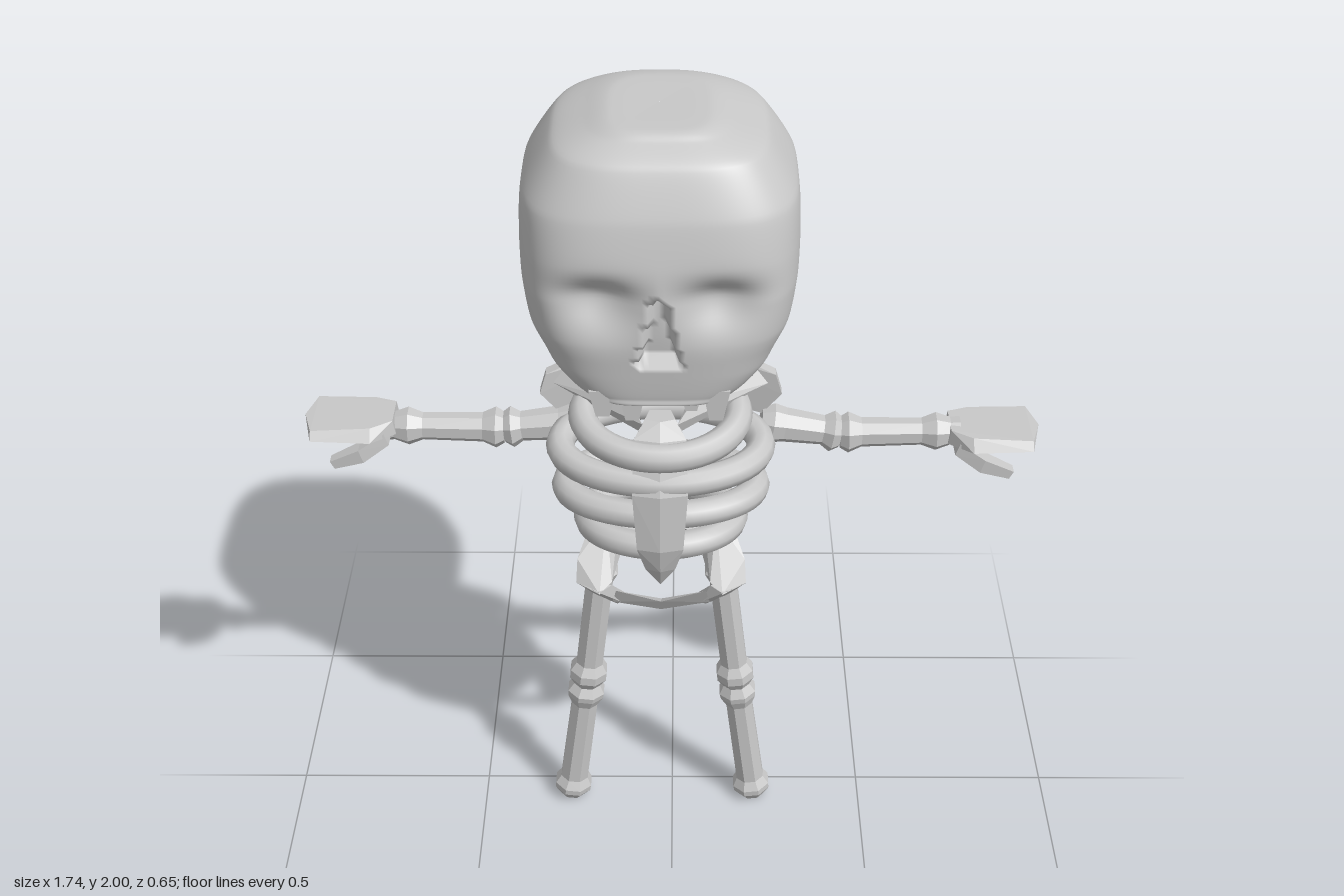
import * as THREE from 'three';
import { ConvexGeometry } from 'three/addons/geometries/ConvexGeometry.js';

const CX = -0.027; // body midline
const bone = new THREE.MeshStandardMaterial({ color: 0xc8c8c8 });
bone.name = 'bone';
const V = (x, y, z) => new THREE.Vector3(x, y, z);

export function createModel() {
  const model = new THREE.Group();
  model.name = 'skeleton';

  const add = (name, geo, parent = model) => {
    const mesh = new THREE.Mesh(geo, bone);
    mesh.name = name;
    parent.add(mesh);
    return mesh;
  };
  const group = (name) => {
    const g = new THREE.Group();
    g.name = name;
    model.add(g);
    return g;
  };
  // faceted solid around a few points, x measured from the midline and mirrored by s
  const hull = (name, pts, s = 1, parent = model) =>
    add(name, new ConvexGeometry(pts.map(([x, y, z]) => V(CX + s * x, y, z))), parent);
  // faceted long bone: profile of [distance along, radius]
  const longBone = (name, a, b, profile, parent) => {
    const len = a.distanceTo(b);
    const pts = [[0, 0.001], ...profile, [1, 0.001]].map(([t, r]) => new THREE.Vector2(r, t * len));
    let geo = new THREE.LatheGeometry(pts, 8, Math.PI / 8).toNonIndexed();
    geo.computeVertexNormals();
    const mesh = add(name, geo, parent);
    mesh.position.copy(a);
    mesh.quaternion.setFromUnitVectors(V(0, 1, 0), b.clone().sub(a).normalize());
  };

  // Skull: rounded loops of [y, half width, front z, back z], sockets pressed in
  const levels = [
    [2.0, 0.001, 0.01, 0.008], [2.0, 0.11, 0.15, -0.13], [1.985, 0.16, 0.18, -0.19],
    [1.95, 0.235, 0.235, -0.245], [1.85, 0.3, 0.285, -0.302], [1.75, 0.308, 0.312, -0.325],
    [1.66, 0.306, 0.328, -0.328], [1.57, 0.292, 0.325, -0.296], [1.5, 0.252, 0.318, -0.22],
    [1.465, 0.2, 0.312, -0.15], [1.45, 0.15, 0.3, -0.1], [1.455, 0.001, 0.08, 0.078]];
  const sizes = new THREE.CatmullRomCurve3(levels.map((l) => V(l[1], l[2], l[3])), false, 'catmullrom', 0.3);
  const heights = new THREE.CatmullRomCurve3(levels.map((l) => V(0, l[0], 0)), false, 'catmullrom', 0.3);
  const ROWS = 99, COLS = 160, pos = [], idx = [];
  for (let i = 0; i <= ROWS; i++) {
    const { x: w, y: zf, z: zb } = sizes.getPoint(i / ROWS);
    const y0 = heights.getPoint(i / ROWS).y;
    for (let j = 0; j < COLS; j++) {
      const a = (j / COLS) * Math.PI * 2, c = Math.cos(a), s = Math.sin(a);
      const n = s > 0 ? 3.8 : 2.9;
      const r = (Math.abs(c) ** n + Math.abs(s) ** n) ** (-1 / n);
      const x = r * c * w;
      let y = y0, z = (zf + zb) / 2 + r * s * (zf - zb) / 2;
      if (z > 0.1) {
        const dx = (Math.abs(x) - 0.13) / 0.085, dy = (y - 1.675) / (y > 1.675 ? 0.045 : 0.07);
        const noseHalf = 0.045 - ((y - 1.52) / 0.16) * 0.035;
        const inNose = y > 1.52 && y < 1.68 && Math.abs(x) < noseHalf;
        z -= 0.05 * Math.exp(-dx * dx - dy * dy) + (inNose ? 0.05 : 0);
      }
      // upper jaw hangs lower at the front
      y -= 0.035 * THREE.MathUtils.smoothstep(z, 0.02, 0.3) * (1 - THREE.MathUtils.smoothstep(y0, 1.45, 1.53));
      pos.push(CX + x, y, z);
      if (i < ROWS) {
        const p = i * COLS + j, q = i * COLS + ((j + 1) % COLS);
        idx.push(p, q, p + COLS, q, q + COLS, p + COLS);
      }
    }
  }
  const skull = new THREE.BufferGeometry();
  skull.setAttribute('position', new THREE.Float32BufferAttribute(pos, 3));
  skull.setIndex(idx);
  skull.computeVertexNormals();
  add('skull', skull);

  // Teeth
  const teeth = group('teeth');
  for (const [x, w, tip] of [[-0.125, 0.03, 1.385], [-0.06, 0.03, 1.375], [0.07, 0.025, 1.40], [0.125, 0.03, 1.375]]) {
    hull('tooth', [[x - w, 1.45, 0.305], [x + w, 1.45, 0.305], [x - w, 1.44, 0.2], [x + w, 1.44, 0.2],
      [x - w * 0.5, tip, 0.305], [x + w * 0.5, tip, 0.305], [x, tip + 0.01, 0.28]], 1, teeth);
  }

  // Spine and neck
  const slab = (y, w, z0, z1) => [[-w, y, z0], [w, y, z0], [-w, y, z1], [w, y, z1]];
  hull('spine', [...slab(1.46, 0.032, -0.085, 0), ...slab(0.8, 0.032, -0.085, -0.03), [0, 0.69, -0.045]]);
  hull('neck', [...slab(1.47, 0.025, -0.01, 0.08), ...slab(1.36, 0.03, -0.01, 0.08), ...slab(1.28, 0.02, -0.02, 0.01)]);
  hull('sacrum', [...slab(0.95, 0.025, -0.06, -0.01), ...slab(0.8, 0.045, -0.06, 0), [0, 0.68, -0.03]]);

  // Breastbone: [y, half width, front z]
  const sternum = group('breastbone');
  const cuts = [[1.3, 0.035, 0.2], [1.27, 0.06, 0.24], [1.15, 0.064, 0.29], [1.0, 0.054, 0.297], [0.93, 0.035, 0.28], [0.87, 0.006, 0.25]]
    .map(([y, w, z]) => [[-w, y, z - 0.012], [w, y, z - 0.012], [0, y, z], [-w * 0.7, y, z - 0.05], [w * 0.7, y, z - 0.05]]);
  for (let i = 0; i + 1 < cuts.length; i++) hull('breastboneSection', [...cuts[i], ...cuts[i + 1]], 1, sternum);

  // Ribs: [front y, back y, half width]
  const ribs = group('ribs');
  for (const [yf, yb, w] of [[1.235, 1.3, 0.18], [1.165, 1.195, 0.235], [1.075, 1.06, 0.225], [0.985, 0.965, 0.175]]) {
    const pts = [];
    for (let i = 0; i < 20; i++) {
      const a = (i / 20) * Math.PI * 2, s = Math.sin(a);
      pts.push(V(CX + Math.cos(a) * w, (yf + yb) / 2 + s * (yf - yb) / 2, 0.11 + s * 0.14));
    }
    add('rib', new THREE.TubeGeometry(new THREE.CatmullRomCurve3(pts, true), 48, 0.034, 10, true), ribs);
  }

  for (const s of [1, -1]) {
    const side = s > 0 ? 'left' : 'right';

    // Collarbone and shoulder blade
    hull(side + 'Collarbone', [[0.04, 1.3, 0.21], [0.05, 1.27, 0.19], [0.07, 1.33, 0.17], [0.09, 1.28, 0.13],
      [0.2, 1.37, 0.03], [0.25, 1.31, 0.05], [0.22, 1.31, 0.0], [0.1, 1.36, 0.06]], s);
    const blade = [[0.03, 1.36, -0.07], [0.1, 1.37, -0.065], [0.27, 1.31, -0.015], [0.285, 1.26, -0.01], [0.24, 1.2, -0.02], [0.03, 1.23, -0.07]];
    hull(side + 'ShoulderBlade', [...blade, ...blade.map(([x, y, z]) => [x, y, z + 0.03])], s);

    // Arm
    const lift = s > 0 ? -0.012 : 0.012;
    const arm = group(side + 'Arm');
    const elbow = V(s * 0.4, 1.155 + lift / 2, 0.015), wrist = V(s * 0.685, 1.16 + lift / 2, 0.015);
    longBone('upperArm', V(s * 0.21, 1.18, 0.015), elbow,
      [[0, 0.035], [0.15, 0.048], [0.3, 0.042], [0.78, 0.036], [0.9, 0.05], [1, 0.038]], arm);
    longBone('forearm', elbow, wrist, [[0, 0.038], [0.07, 0.05], [0.18, 0.036], [0.68, 0.033], [0.8, 0.046], [0.92, 0.034], [1, 0.036]], arm);

    // Hand and thumb, placed from the world centre
    const y = 1.175 + lift;
    const plate = (pts) => pts.map(([x, yy, z]) => [x - s * CX, yy, z]);
    hull('hand', plate([[0.655, y - 0.02, -0.03], [0.655, y - 0.02, 0.055], [0.66, y + 0.018, -0.03], [0.66, y + 0.018, 0.055],
      [0.71, y - 0.012, -0.075], [0.71, y - 0.012, 0.108], [0.85, y - 0.006, -0.075], [0.85, y - 0.006, 0.108],
      [0.71, y + 0.016, -0.05], [0.71, y + 0.016, 0.085], [0.85, y + 0.012, -0.06], [0.85, y + 0.012, 0.09],
      [0.872, y + 0.01, 0.015], [0.85, y - 0.014, 0.015]]), s, arm);
    const cut = (x, yy, h, z, d) => [[x, yy + h, z - d], [x, yy + h, z + d], [x - 0.01, yy - h, z - d], [x - 0.01, yy - h, z + d]];
    const thumb = [cut(0.68, y - 0.02, 0.015, 0.06, 0.02), cut(0.74, y - 0.055, 0.017, 0.08, 0.02), cut(0.81, y - 0.08, 0.01, 0.085, 0.014)];
    for (let i = 0; i < 2; i++) hull('thumb', plate([...thumb[i], ...thumb[i + 1]]), s, arm);

    // Pelvis half: flared wing, front branch and rear branch
    const pelvis = group(side + 'Pelvis');
    hull('hipWing', [[0.10, 0.91, -0.045], [0.16, 0.915, 0.0], [0.135, 0.9, 0.03], [0.205, 0.83, 0.1], [0.208, 0.78, 0.13],
      [0.15, 0.77, 0.165], [0.12, 0.79, 0.14], [0.19, 0.78, 0.0], [0.14, 0.71, 0.03], [0.1, 0.76, -0.04], [0.08, 0.82, -0.06]], s, pelvis);
    hull('pubis', [[0.208, 0.78, 0.13], [0.15, 0.775, 0.165], [0.12, 0.78, 0.14], [0.11, 0.665, 0.07], [0.08, 0.66, 0.03],
      [0.1, 0.72, 0.13], [0.16, 0.69, 0.07]], s, pelvis);
    hull('pubicBranch', [[0.11, 0.77, 0.15], [0.12, 0.72, 0.13], [0.0, 0.72, 0.13], [0.0, 0.68, 0.11],
      [0.07, 0.66, 0.06], [0.11, 0.67, 0.07], [0.0, 0.69, 0.08]], s, pelvis);
    hull('sacralJoint', [[0.02, 0.88, -0.07], [0.02, 0.78, -0.06], [0.02, 0.85, -0.02], [0.11, 0.88, -0.04], [0.11, 0.77, -0.04], [0.12, 0.82, 0.0]], s, pelvis);

    // Leg
    const leg = group(side + 'Leg');
    const knee = V(CX + s * 0.193, 0.395, 0.055);
    longBone('thigh', V(CX + s * 0.148, 0.785, 0.055), knee,
      [[0, 0.03], [0.05, 0.046], [0.12, 0.036], [0.82, 0.036], [0.88, 0.05], [0.94, 0.05], [1, 0.036]], leg);
    longBone('shin', knee, V(CX + s * 0.243, 0.005, 0.055),
      [[0, 0.036], [0.06, 0.05], [0.1, 0.048], [0.17, 0.036], [0.84, 0.038], [0.9, 0.051], [0.94, 0.05], [1, 0.034]], leg);
  }
  return model;
}
